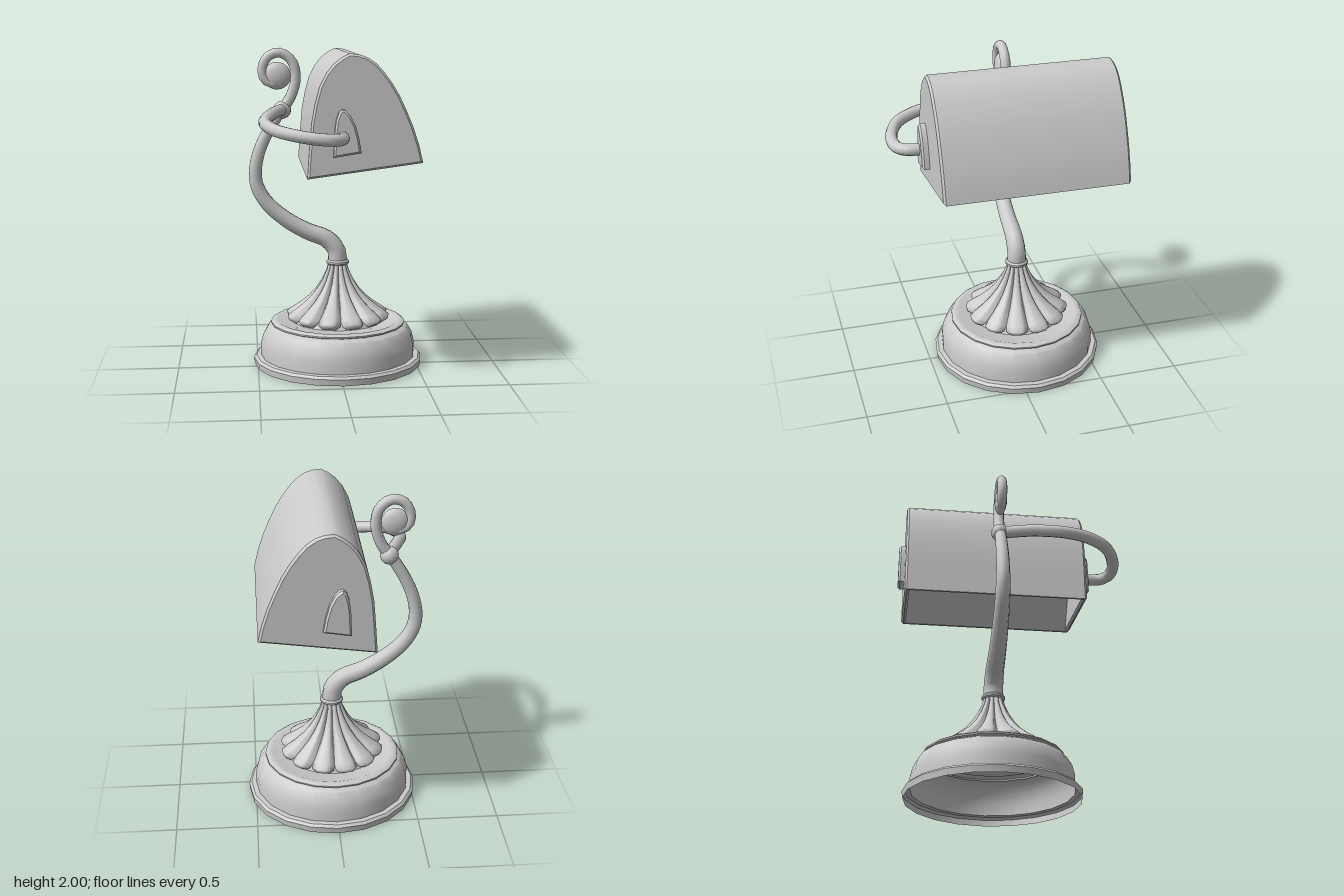
import * as THREE from 'three';
import { toCreasedNormals } from 'three/addons/utils/BufferGeometryUtils.js';

const grey = new THREE.MeshStandardMaterial({ color: 0xcccccc });
const greyThin = new THREE.MeshStandardMaterial({ color: 0xcccccc, side: THREE.DoubleSide });

function add(parent, name, geometry, material = grey) {
  const mesh = new THREE.Mesh(geometry, material);
  mesh.name = name;
  parent.add(mesh);
  return mesh;
}

const vec2 = (points) => points.map(([x, y]) => new THREE.Vector2(x, y));
const curve = (points) => new THREE.CatmullRomCurve3(points.map((p) => new THREE.Vector3(...p)));

function lathe(points) {
  return toCreasedNormals(new THREE.LatheGeometry(vec2(points), 20), 0.6);
}

// Tube whose radius follows a rule along its length
function taperedTube(path, segments, sides, radiusAt) {
  const g = new THREE.TubeGeometry(path, segments, 1, sides);
  const pos = g.attributes.position;
  const v = new THREE.Vector3();
  for (let i = 0; i <= segments; i++) {
    const u = i / segments;
    const c = path.getPointAt(u);
    for (let j = 0; j <= sides; j++) {
      const k = i * (sides + 1) + j;
      v.fromBufferAttribute(pos, k).sub(c).multiplyScalar(radiusAt(u)).add(c);
      pos.setXYZ(k, v.x, v.y, v.z);
    }
  }
  return g;
}

// Outline extruded from z0 to z1, with an optional chamfer inside that span
function slab(points, z0, z1, bevel = 0) {
  const g = new THREE.ExtrudeGeometry(new THREE.Shape(vec2(points)), {
    depth: z1 - z0 - 2 * bevel,
    bevelEnabled: bevel > 0,
    bevelSize: bevel,
    bevelThickness: bevel,
    bevelOffset: -bevel,
    bevelSegments: 1,
  });
  g.translate(0, 0, z0 + bevel);
  return toCreasedNormals(g, 0.6);
}

// Rounded leaf running up the cone; rows are [radius, y, half width, bulge]
function petalGeometry() {
  const rows = [
    [0.3, 0.285, 0.03, 0], [0.305, 0.29, 0.042, 0.022], [0.3, 0.31, 0.068, 0.03],
    [0.265, 0.335, 0.068, 0.03], [0.22, 0.37, 0.056, 0.026], [0.17, 0.415, 0.043, 0.022],
    [0.125, 0.47, 0.032, 0.018], [0.09, 0.53, 0.023, 0.014], [0.062, 0.6, 0.016, 0.01],
    [0.05, 0.655, 0.014, 0.008],
  ];
  const n = rows.length - 1;
  const g = new THREE.PlaneGeometry(2, n, 8, n);
  const pos = g.attributes.position;
  for (let k = 0; k < pos.count; k++) {
    const s = pos.getX(k);
    const [r, y, w, h] = rows[Math.round(pos.getY(k) + n / 2)];
    const lift = h * Math.sqrt(Math.max(0, 1 - s * s)) - 0.02 * Math.abs(s) ** 6;
    pos.setXYZ(k, s * w, y + lift * 0.45, r + lift * 0.85);
  }
  g.computeVertexNormals();
  return g;
}

export function createModel() {
  const lamp = new THREE.Group();
  lamp.name = 'deskLamp';

  // Hollow round base with a fluted cone
  const base = new THREE.Group();
  base.name = 'base';
  base.position.set(0.01, 0, -0.08);
  lamp.add(base);
  add(base, 'basePlinth', lathe([
    [0.53, 0], [0.535, 0.04], [0.52, 0.055], [0.49, 0.057], [0.49, 0.13], [0.475, 0.19],
    [0.445, 0.24], [0.41, 0.257], [0.425, 0.263], [0.425, 0.272], [0.41, 0.282],
    [0.385, 0.282], [0.37, 0.275], [0, 0.275],
  ]), greyThin);
  add(base, 'cone', lathe([
    [0.285, 0.275], [0.26, 0.325], [0.205, 0.37], [0.155, 0.42], [0.11, 0.475],
    [0.08, 0.53], [0.055, 0.6], [0.045, 0.65],
  ]), greyThin);
  const petal = petalGeometry();
  for (let i = 0; i < 12; i++) {
    add(base, 'petal', petal, greyThin).rotation.y = ((i + 0.5) * Math.PI) / 6;
  }
  add(base, 'collar', lathe([
    [0.04, 0.635], [0.062, 0.637], [0.072, 0.645], [0.072, 0.657], [0.062, 0.667], [0, 0.672],
  ]));

  // Curved stem ending in a scroll
  const z = -0.08;
  const stemPath = curve([
    [0.01, 0.65, z], [0, 0.73, z], [-0.06, 0.8, z], [-0.18, 0.85, z], [-0.31, 0.925, z],
    [-0.43, 1.03, z], [-0.49, 1.13, z], [-0.505, 1.22, z], [-0.485, 1.34, z], [-0.43, 1.47, z],
    [-0.35, 1.6, z], [-0.285, 1.69, z], [-0.25, 1.81, z], [-0.27, 1.91, z], [-0.34, 1.965, z],
    [-0.41, 1.95, z], [-0.452, 1.89, z], [-0.45, 1.82, z], [-0.41, 1.78, z], [-0.36, 1.78, z],
  ]);
  add(lamp, 'stem', taperedTube(stemPath, 56, 10, (u) => 0.03 + 0.032 * (1 - u) ** 1.8));
  const scroll = add(lamp, 'scrollEnd', new THREE.SphereGeometry(0.085, 18, 12));
  scroll.position.set(-0.365, 1.825, z);
  scroll.scale.z = 0.45;
  add(lamp, 'joint', new THREE.SphereGeometry(0.056, 16, 10)).position.set(-0.335, 1.615, z);

  // Arm sweeping around to the front end of the shade
  const armPath = curve([
    [-0.335, 1.615, -0.07], [-0.36, 1.615, 0], [-0.405, 1.605, 0.13], [-0.45, 1.578, 0.31],
    [-0.43, 1.56, 0.46], [-0.35, 1.538, 0.585], [-0.18, 1.51, 0.655], [-0.06, 1.5, 0.64],
    [-0.015, 1.5, 0.59], [-0.005, 1.5, 0.5],
  ]);
  add(lamp, 'shadeArm', taperedTube(armPath, 36, 10, () => 0.037));

  // Arched shade: body with a tapered pocket open below, closed by two end caps
  const shade = new THREE.Group();
  shade.name = 'shade';
  lamp.add(shade);
  const left = [-0.21, 1.255];
  const right = [0.465, 1.345];
  const arch = [
    [0.44, 1.45], [0.405, 1.555], [0.365, 1.65], [0.325, 1.735], [0.28, 1.81], [0.235, 1.87],
    [0.19, 1.92], [0.14, 1.955], [0.09, 1.972], [0.035, 1.978], [-0.01, 1.955], [-0.055, 1.92],
    [-0.1, 1.865], [-0.138, 1.79], [-0.165, 1.69], [-0.185, 1.58], [-0.197, 1.44],
  ];
  const pocket = [[-0.192, 1.257], [-0.1, 1.615], [0.215, 1.675], [0.445, 1.342]];
  add(shade, 'shadeBody', slab([right, ...arch, left, ...pocket], -0.635, 0.465));
  const outline = [right, ...arch, left];
  add(shade, 'frontCap', slab(outline, 0.45, 0.48, 0.013));
  add(shade, 'backCap', slab(outline, -0.65, -0.62, 0.013));

  // Small arched plates on both ends
  const plate = [
    [0.1, 1.41], [0.087, 1.49], [0.065, 1.57], [0.035, 1.63], [0.01, 1.655], [-0.012, 1.662],
    [-0.03, 1.645], [-0.045, 1.6], [-0.054, 1.53], [-0.06, 1.385],
  ];
  add(shade, 'frontPlate', slab(plate, 0.45, 0.523, 0.012));
  add(shade, 'backPlate', slab(plate, -0.69, -0.62, 0.012));

  return lamp;
}
